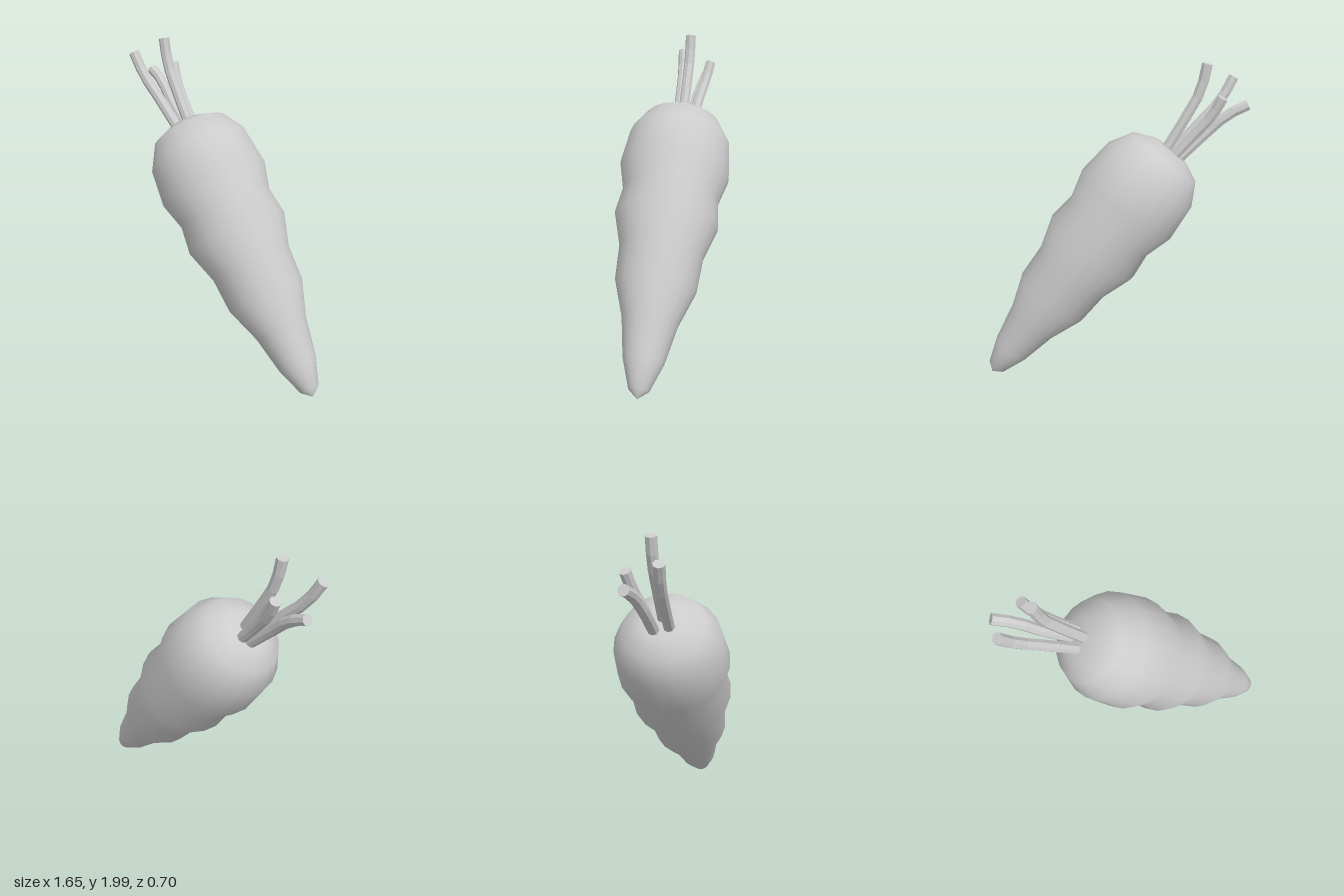
import * as THREE from 'three';

const smooth = new THREE.MeshStandardMaterial({ color: 0xcccccc });
const faceted = new THREE.MeshStandardMaterial({ color: 0xcccccc, flatShading: true });

// Lumpy tapering root: [radius, distance from the tip]
function makeRoot() {
  const profile = [
    [0, 0], [0.06, 0.05], [0.121, 0.217], [0.167, 0.448], [0.246, 0.669], [0.258, 0.884],
    [0.324, 1.095], [0.303, 1.267], [0.351, 1.443], [0.327, 1.676], [0.247, 1.816],
    [0.126, 1.873], [0, 1.876],
  ].map(([r, h]) => new THREE.Vector2(r, h));
  const root = new THREE.Mesh(new THREE.LatheGeometry(profile, 20), smooth);
  root.name = 'root';
  root.position.set(0.81, 0.005, 0);
  root.rotation.z = 0.673; // leans toward -x
  return root;
}

// Bent stalk: a tube along the points, closed by a flat cut at its end
function makeStalk(points, name) {
  const radius = 0.034;
  const sides = 8;
  const curve = new THREE.CatmullRomCurve3(points.map((p) => new THREE.Vector3(...p)));
  const stalk = new THREE.Group();
  stalk.name = name;
  const stem = new THREE.Mesh(new THREE.TubeGeometry(curve, 6, radius, sides), faceted);
  stem.name = 'stem';
  const cut = new THREE.Mesh(new THREE.CircleGeometry(radius, sides), faceted);
  cut.name = 'cutEnd';
  cut.position.copy(curve.getPoint(1));
  // Match the cap's corners to the last ring of the tube
  const { normals, binormals, tangents } = curve.computeFrenetFrames(6, false);
  cut.quaternion.setFromRotationMatrix(
    new THREE.Matrix4().makeBasis(normals[6], binormals[6], tangents[6])
  );
  stalk.add(stem, cut);
  return stalk;
}

export function createModel() {
  const carrot = new THREE.Group();
  carrot.name = 'carrot';
  carrot.add(makeRoot());

  // Four stalks spreading from the crown, listed base to end
  const stalks = {
    tallStalk: [[-0.31, 1.44, 0], [-0.455, 1.68, 0], [-0.535, 1.83, 0], [-0.57, 1.99, 0]],
    frontStalk: [[-0.35, 1.41, 0.045], [-0.56, 1.62, 0.065], [-0.69, 1.75, 0.08], [-0.77, 1.885, 0.095]],
    lowStalk: [[-0.38, 1.4, -0.035], [-0.57, 1.58, -0.045], [-0.69, 1.69, -0.065], [-0.81, 1.75, -0.08]],
    backStalk: [[-0.34, 1.42, -0.06], [-0.48, 1.58, -0.08], [-0.58, 1.7, -0.105], [-0.635, 1.81, -0.125]],
  };
  for (const [name, points] of Object.entries(stalks)) carrot.add(makeStalk(points, name));
  return carrot;
}
